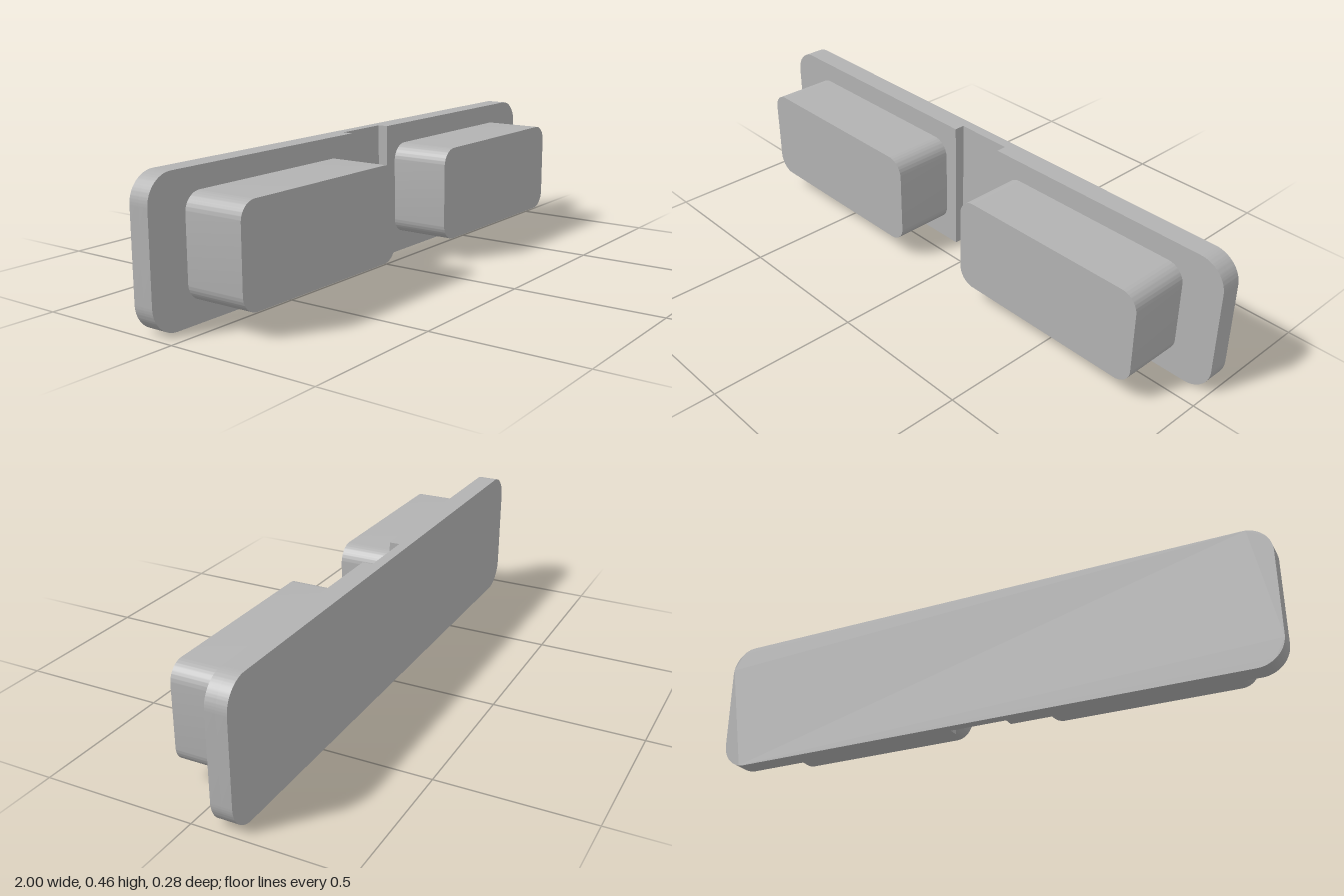
import * as THREE from 'three';
import { toCreasedNormals } from 'three/addons/utils/BufferGeometryUtils.js';

// Rectangle with separate corner radii for its left and right ends
function roundedRect(x0, x1, y0, y1, rl, rr) {
  const s = new THREE.Shape();
  s.moveTo(x0 + rl, y0);
  s.lineTo(x1 - rr, y0);
  if (rr) s.absarc(x1 - rr, y0 + rr, rr, -Math.PI / 2, 0, false);
  else s.lineTo(x1, y0);
  s.lineTo(x1, y1 - rr);
  if (rr) s.absarc(x1 - rr, y1 - rr, rr, 0, Math.PI / 2, false);
  s.lineTo(x0 + rl, y1);
  if (rl) s.absarc(x0 + rl, y1 - rl, rl, Math.PI / 2, Math.PI, false);
  s.lineTo(x0, y0 + rl);
  if (rl) s.absarc(x0 + rl, y0 + rl, rl, Math.PI, Math.PI * 1.5, false);
  return s;
}

export function createModel() {
  const group = new THREE.Group();
  group.name = 'doubleBlockPlate';
  const grey = new THREE.MeshStandardMaterial({ color: 0xb2b2b2 });
  grey.name = 'grey';

  const HEIGHT = 0.46, CORNER = 0.09, GROOVE = 0.1;
  const Z_BACK = -0.139, Z_GROOVE = -0.104, Z_PLATE = -0.069, Z_FRONT = 0.139;

  function addSlab(name, shape, z0, z1) {
    const geo = new THREE.ExtrudeGeometry(shape, { depth: z1 - z0, bevelEnabled: false, curveSegments: 16 });
    geo.translate(0, 0, z0);
    const mesh = new THREE.Mesh(toCreasedNormals(geo, Math.PI / 6), grey);
    mesh.name = name;
    group.add(mesh);
  }

  // Full-width back layer; its front is the floor of the central groove
  addSlab('backPlate', roundedRect(-1, 1, 0, HEIGHT, CORNER, CORNER), Z_BACK, Z_GROOVE);

  // Raised half plates on both sides of the groove
  addSlab('rightRaisedPlate', roundedRect(-1, -GROOVE, 0, HEIGHT, CORNER, 0), Z_GROOVE, Z_PLATE);
  addSlab('leftRaisedPlate', roundedRect(GROOVE, 1, 0, HEIGHT, 0, CORNER), Z_GROOVE, Z_PLATE);

  // Protruding rounded blocks
  addSlab('rightBlock', roundedRect(-0.863, -0.147, 0.07, 0.39, 0.058, 0.058), Z_PLATE, Z_FRONT);
  addSlab('leftBlock', roundedRect(0.147, 0.863, 0.07, 0.39, 0.058, 0.058), Z_PLATE, Z_FRONT);

  return group;
}
